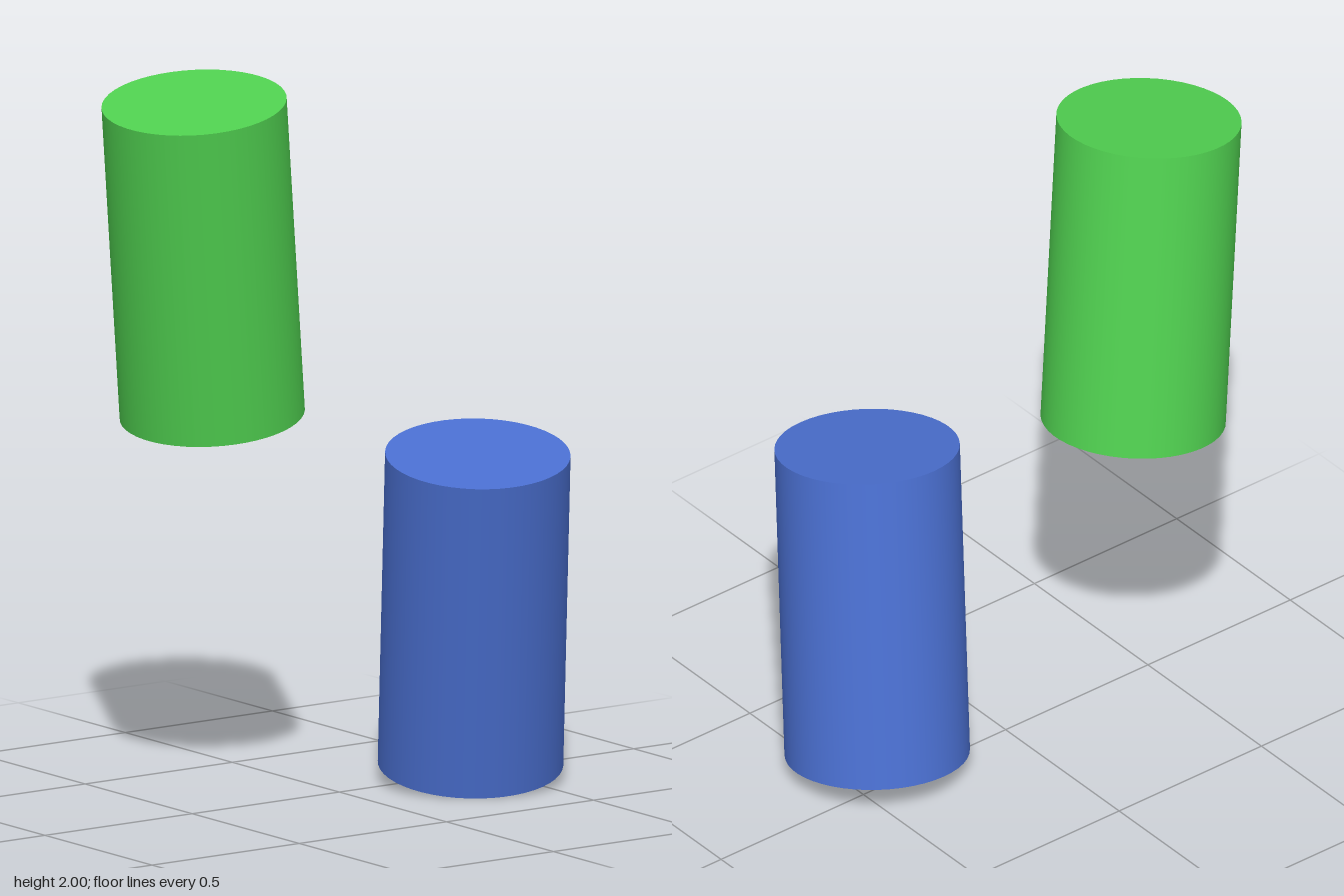
import * as THREE from 'three';

const RADIUS = 0.255;

// Closed cylinder running between two end centres
function cylinderBetween(name, bottom, top, material) {
  const a = new THREE.Vector3(...bottom);
  const b = new THREE.Vector3(...top);
  const axis = b.clone().sub(a);
  const mesh = new THREE.Mesh(
    new THREE.CylinderGeometry(RADIUS, RADIUS, axis.length(), 48),
    material
  );
  mesh.name = name;
  mesh.position.copy(a).add(b).multiplyScalar(0.5);
  mesh.quaternion.setFromUnitVectors(new THREE.Vector3(0, 1, 0), axis.normalize());
  return mesh;
}

export function createModel() {
  const group = new THREE.Group();
  group.name = 'tiltedCylinders';

  const green = new THREE.MeshStandardMaterial({ color: 0x50d050 });
  green.name = 'green';
  const blue = new THREE.MeshStandardMaterial({ color: 0x4a6fd0 });
  blue.name = 'blue';

  // Upper cylinder, leaning forward and to its right
  group.add(cylinderBetween('upperCylinder', [-0.263, 1.055, -0.232], [-0.388, 1.958, -0.145], green));
  // Lower cylinder, leaning further forward
  group.add(cylinderBetween('lowerCylinder', [0.386, 0.049, 0.082], [0.301, 0.952, 0.233], blue));

  return group;
}
